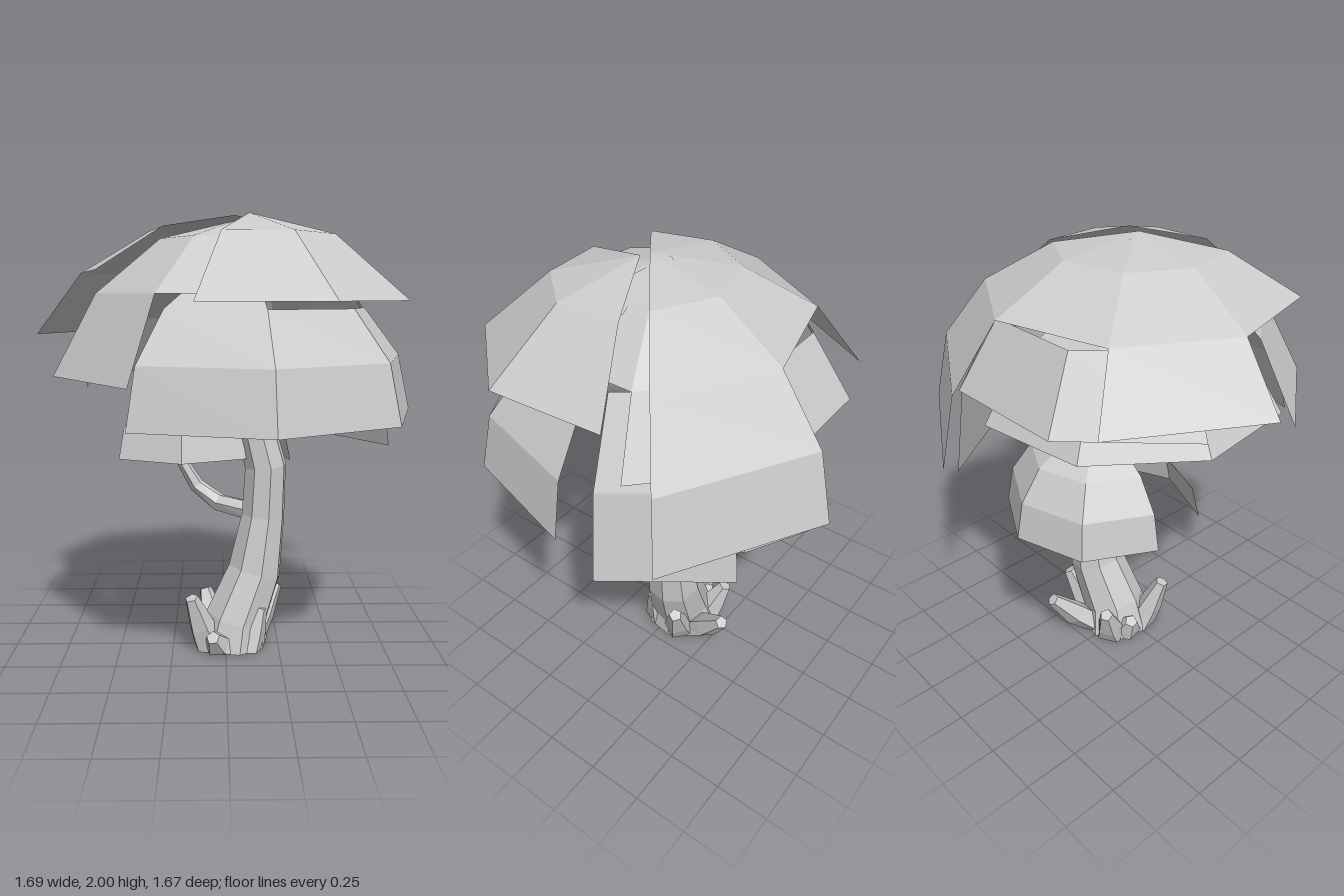
import * as THREE from 'three';

const sheet = new THREE.MeshStandardMaterial({ color: 0xcccccc, flatShading: true, side: THREE.DoubleSide });
const STEP = Math.PI / 4;

function meshFrom(name, positions) {
  const g = new THREE.BufferGeometry();
  g.setAttribute('position', new THREE.Float32BufferAttribute(positions, 3));
  g.computeVertexNormals();
  const m = new THREE.Mesh(g, sheet);
  m.name = name;
  return m;
}

// Part of an eight-sided, four-row dome. Each sector keeps the rows [from, to).
function domePanel(name, { x, z, r, base, h, start, sectors }) {
  const out = [];
  const point = (row, spoke) => {
    const tilt = (row * Math.PI) / 8;
    const a = THREE.MathUtils.degToRad(start) - spoke * STEP;
    const d = r * Math.sin(tilt);
    return [x + d * Math.cos(a), base + h * Math.cos(tilt), z + d * Math.sin(a)];
  };
  sectors.forEach(([from, to], s) => {
    for (let i = from; i < to; i++) {
      const a = point(i, s), b = point(i + 1, s), c = point(i + 1, s + 1), d = point(i, s + 1);
      out.push(...a, ...b, ...c);
      if (i > 0) out.push(...a, ...c, ...d);
    }
  });
  return meshFrom(name, out);
}

// Tapered limb through points [x, y, z, radius], open below and closed at the tip.
function limb(name, path, sides) {
  const pts = path.map(p => new THREE.Vector3(p[0], p[1], p[2]));
  const up = new THREE.Vector3(0, 1, 0);
  const rings = pts.map((p, i) => {
    const t = pts[Math.min(i + 1, pts.length - 1)].clone().sub(pts[Math.max(i - 1, 0)]).normalize();
    const q = new THREE.Quaternion().setFromUnitVectors(up, p.y === 0 ? up : t);
    return Array.from({ length: sides }, (_, k) => {
      const a = (k / sides) * Math.PI * 2 + 0.2;
      return new THREE.Vector3(Math.cos(a), 0, -Math.sin(a))
        .multiplyScalar(path[i][3]).applyQuaternion(q).add(p);
    });
  });
  const out = [];
  const tri = (...v) => v.forEach(p => out.push(p.x, p.y, p.z));
  const last = rings.length - 1;
  for (let k = 0; k < sides; k++) {
    const n = (k + 1) % sides;
    for (let i = 0; i < last; i++) {
      tri(rings[i][k], rings[i][n], rings[i + 1][n]);
      tri(rings[i][k], rings[i + 1][n], rings[i + 1][k]);
    }
    tri(pts[last], rings[last][k], rings[last][n]);
  }
  return meshFrom(name, out);
}

export function createModel() {
  const model = new THREE.Group();
  model.name = 'tree';

  // Overlapping canopy panels
  const canopy = new THREE.Group();
  canopy.name = 'canopy';
  canopy.add(
    domePanel('topFrontPanel', { x: 0.1, z: 0.12, r: 0.975, base: 0.74, h: 1.26, start: 109,
      sectors: [[0, 2], [0, 2], [0, 2]] }),
    domePanel('topBackPanel', { x: 0.04, z: 0.12, r: 0.97, base: 1.165, h: 0.825, start: -37.5,
      sectors: [[0, 4], [0, 2], [0, 3], [0, 2]] }),
    domePanel('frontRightPanel', { x: 0.04, z: 0.08, r: 0.86, base: 0.91, h: 1.06, start: 166,
      sectors: [[0, 3], [0, 2], [0, 1], [0, 1]] }),
    domePanel('lowerFrontPanel', { x: 0.085, z: 0.07, r: 0.767, base: 1.14, h: 0.65, start: 128,
      sectors: [[1, 4], [2, 4], [2, 4]] }),
    domePanel('lowerBackPanel', { x: 0, z: 0.05, r: 0.83, base: 1.08, h: 0.9, start: 22,
      sectors: [[0, 2], [0, 3], [2, 3], [2, 3]] }),
    domePanel('backLeftFlap', { x: 0.06, z: 0.02, r: 0.747, base: 0.94, h: 1.08, start: -13,
      sectors: [[2, 4]] }),
    domePanel('innerBackPanel', { x: 0.02, z: 0.05, r: 0.74, base: 0.97, h: 0.81, start: -75,
      sectors: [[1, 3], [1, 3], [1, 3]] }),
  );
  model.add(canopy);

  // Small canopy over the side branch
  const small = new THREE.Group();
  small.name = 'smallCanopy';
  small.add(
    domePanel('smallBackPanel', { x: -0.1, z: -0.24, r: 0.42, base: 0.86, h: 0.42, start: 6,
      sectors: [[0, 4], [0, 4], [0, 4], [0, 4]] }),
    domePanel('smallFrontPanel', { x: -0.2, z: -0.32, r: 0.42, base: 0.9, h: 0.36, start: 135,
      sectors: [[0, 4], [0, 4]] }),
  );
  model.add(small);

  // Curved trunk and its branches
  model.add(
    limb('trunk', [
      [0.03, 0, -0.03, 0.175], [0.05, 0.12, -0.03, 0.15], [0.14, 0.35, -0.06, 0.13],
      [0.18, 0.62, -0.07, 0.105], [0.19, 0.86, -0.07, 0.1], [0.13, 1.1, -0.08, 0.09],
      [0.05, 1.32, -0.07, 0.05]], 8),
    limb('lowBranch', [
      [0.16, 0.62, -0.1, 0.05], [-0.03, 0.64, -0.23, 0.045], [-0.14, 0.72, -0.26, 0.037],
      [-0.25, 0.91, -0.26, 0.025], [-0.24, 1.05, -0.26, 0.02]], 6),
    limb('highBranch', [
      [0.14, 1.0, -0.09, 0.04], [0.32, 1.16, -0.12, 0.032], [0.42, 1.35, -0.15, 0.02]], 6),
  );

  // Blunt root shoots: base x, z, then tip x, y, z
  const roots = new THREE.Group();
  roots.name = 'roots';
  [
    [-0.07, 0.04, -0.16, 0.27, 0.11],
    [-0.02, 0.06, -0.06, 0.1, 0.17],
    [0.1, 0.05, 0.165, 0.2, 0.045],
    [0.12, -0.08, 0.25, 0.25, -0.15],
    [0.07, -0.13, 0.14, 0.23, -0.35],
    [-0.04, -0.12, -0.1, 0.2, -0.21],
    [-0.07, -0.06, -0.14, 0.11, -0.08],
  ].forEach(([bx, bz, tx, ty, tz]) => roots.add(limb('root', [
    [bx, 0, bz, 0.085], [(bx + tx) / 2, ty * 0.45, (bz + tz) / 2, 0.062], [tx, ty, tz, 0.032]], 5)));
  model.add(roots);

  return model;
}
